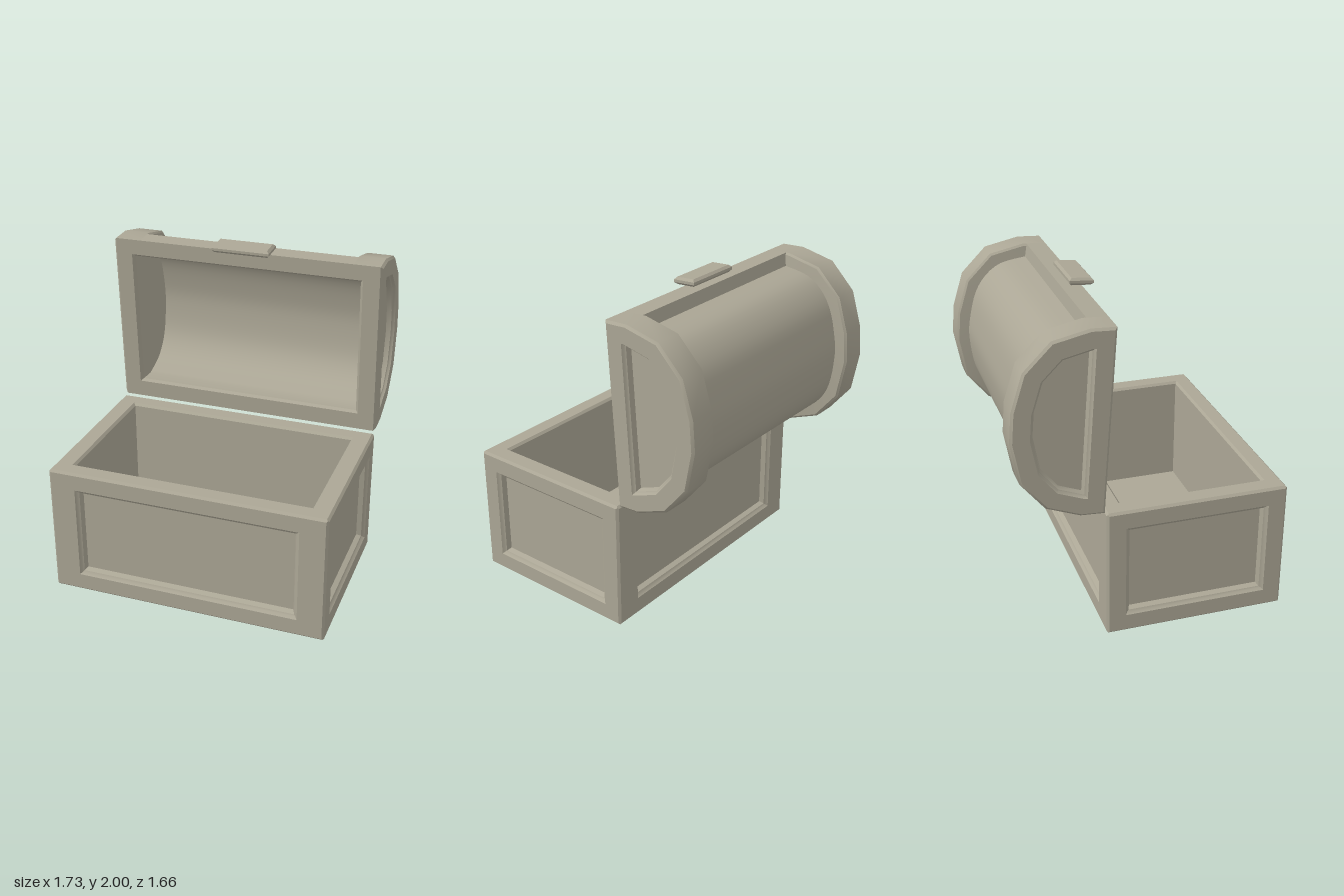
import * as THREE from 'three';
import { toCreasedNormals } from 'three/addons/utils/BufferGeometryUtils.js';

const material = new THREE.MeshStandardMaterial({ color: 0xaba695 });

// Skin a list of equal-length rings of [x, y, z] points, with optional end fill.
function loft(rings, { closed = true, fill = false, flip = false } = {}) {
  const out = [];
  const tri = (a, b, c) => out.push(...a, ...(flip ? c : b), ...(flip ? b : c));
  const n = rings[0].length;
  for (let r = 0; r < rings.length - 1; r++) {
    const a = rings[r], b = rings[r + 1];
    for (let i = 0; i < (closed ? n : n - 1); i++) {
      const j = (i + 1) % n;
      tri(a[i], a[j], b[j]);
      tri(a[i], b[j], b[i]);
    }
  }
  const last = rings[rings.length - 1];
  if (fill) for (let i = 1; i < n - 1; i++) tri(last[0], last[i], last[i + 1]);
  const geometry = new THREE.BufferGeometry();
  geometry.setAttribute('position', new THREE.Float32BufferAttribute(out, 3));
  return toCreasedNormals(geometry, 0.6);
}

function add(parent, name, geometry) {
  const mesh = new THREE.Mesh(geometry, material);
  mesh.name = name;
  parent.add(mesh);
  return mesh;
}

const rect = (w, h, z) => [[-w, -h, z], [w, -h, z], [w, h, z], [-w, h, z]];

// Chamfered box side with optional stepped inset rings [halfWidth, halfHeight, depth].
function boxSide(w, h, dist, inner) {
  const b = 0.014;
  return loft([
    rect(w - b / 2, h - b / 2, dist - b / 2),
    rect(w - b, h - b, dist),
    ...inner.map(([x, y, d]) => rect(x, y, dist - d)),
  ], { fill: true });
}

const panelSteps = (w, h) => [[0, 0], [0.012, 0.015], [0.022, 0.02], [0.034, 0.05]]
  .map(([i, d]) => [w - i, h - i, d]);

function createBase() {
  const base = new THREE.Group();
  base.name = 'chestBase';
  const W = 0.867, H = 0.4125, D = 0.559;
  // Four panelled walls
  ['frontWall', 'leftWall', 'backWall', 'rightWall'].forEach((name, k) => {
    const side = k % 2 === 1;
    const g = side
      ? boxSide(D, H, W, panelSteps(0.443, 0.3))
      : boxSide(W, H, D, panelSteps(0.7, 0.3));
    add(base, name, g.rotateY(k * Math.PI / 2));
  });
  // Rim with hollow interior, and plain underside
  const cavity = [[0.757, 0.457, 0], [0.743, 0.443, 0.015], [0.743, 0.443, 0.725]];
  add(base, 'rimAndInterior', boxSide(W, D, H, cavity).rotateX(-Math.PI / 2));
  add(base, 'underside', boxSide(W, D, H, []).rotateX(Math.PI / 2));
  base.position.set(0, H, 0.2715);
  return base;
}

// Lid cross-section as (z, y), from the top front edge over the back to the hinge
const profile = [
  [-0.225, 1.95], [-0.37, 1.957], [-0.586, 1.91], [-0.745, 1.75], [-0.814, 1.53],
  [-0.828, 1.347], [-0.782, 1.098], [-0.64, 0.922], [-0.44, 0.843], [-0.297, 0.834],
];

// Parallel inward offset of the closed lid profile
function inset(d) {
  const n = profile.length;
  const normal = (a, b) => {
    const x = b[0] - a[0], y = b[1] - a[1], l = Math.hypot(x, y);
    return [-y / l, x / l];
  };
  return profile.map((p, i) => {
    const n1 = normal(profile[(i + n - 1) % n], p);
    const n2 = normal(p, profile[(i + 1) % n]);
    const k = d / (1 + n1[0] * n2[0] + n1[1] * n2[1]);
    return [p[0] + (n1[0] + n2[0]) * k, p[1] + (n1[1] + n2[1]) * k];
  });
}

const at = (points, x) => points.map(([z, y]) => [x, y, z]);
const mix = (a, b, t) => a.map((v, i) => THREE.MathUtils.lerp(v, b[i], t));

// Smooth curve through the rounded part of the offset profile
function arc(d) {
  const pts = inset(d).slice(1, -1).map(([z, y]) => new THREE.Vector2(z, y));
  return new THREE.SplineCurve(pts).getPoints(32).map((p) => [p.x, p.y]);
}

function createLid() {
  const lid = new THREE.Group();
  lid.name = 'lid';
  const top = profile[0], hinge = profile[profile.length - 1];
  // Point on the tilted front plane, t from hinge to top, pushed back by d
  const front = (t, d) => {
    const [z, y] = mix(hinge, top, t);
    return [z - d, y];
  };
  const frontRing = (w, t0, t1, d) => {
    const [a, b] = [front(t0, d), front(t1, d)];
    return [[-w, a[1], a[0]], [w, a[1], a[0]], [w, b[1], b[0]], [-w, b[1], b[0]]];
  };

  // Frame around the lid opening
  add(lid, 'lidFrame', loft([
    frontRing(0.853, 0, 1, 0),
    frontRing(0.75, 0.098, 0.912, 0),
    frontRing(0.733, 0.11, 0.9, 0.02),
  ]));

  // Smooth barrel with the straight rims along its front and hinge edges
  const barrel = [
    top, mix(top, profile[1], 0.85), ...arc(0.078), mix(hinge, profile[8], 0.85), hinge,
  ];
  add(lid, 'barrel', loft([at(barrel, -0.692), at(barrel, 0.692)], { closed: false, flip: true }));

  // Hollow inside of the barrel
  const hollow = [front(0.9, 0.02), ...arc(0.11), front(0.11, 0.02)];
  add(lid, 'lidInterior', loft([at(hollow, -0.733), at(hollow, 0.733)], { closed: false }));

  // End bands with recessed panels
  for (const s of [1, -1]) {
    const side = s > 0 ? 'left' : 'right';
    const ring = (d, x) => at(inset(d), s * x);
    const flip = s > 0;
    add(lid, side + 'Band', loft(
      [ring(0.085, 0.67), ring(0.012, 0.68), ring(0, 0.692), ring(0, 0.853)],
      { closed: false, flip }));
    add(lid, side + 'EndPanel', loft(
      [ring(0, 0.853), ring(0.014, 0.867), ring(0.11, 0.867), ring(0.118, 0.852),
        ring(0.126, 0.847), ring(0.136, 0.817)],
      { fill: true, flip }));
    add(lid, side + 'InnerWall', loft([at(hollow, s * 0.733)], { fill: true, flip: !flip }));
  }

  // Chamfered clasp plate on the front edge
  const b = 0.014, w = 0.183 - b, d = 0.072 - b;
  const plate = new THREE.Shape(rect(w, d, 0).map(([x, y]) => new THREE.Vector2(x, y)));
  const plateGeometry = new THREE.ExtrudeGeometry(plate, {
    depth: 0.016, bevelThickness: b, bevelSize: b, bevelSegments: 1,
  });
  const clasp = add(lid, 'clasp', plateGeometry.translate(0, 0, -0.008).rotateX(-Math.PI / 2));
  clasp.position.set(0, 1.974, -0.228);
  clasp.rotation.x = 0.067;
  return lid;
}

export function createModel() {
  const chest = new THREE.Group();
  chest.name = 'chest';
  chest.add(createBase(), createLid());
  return chest;
}
